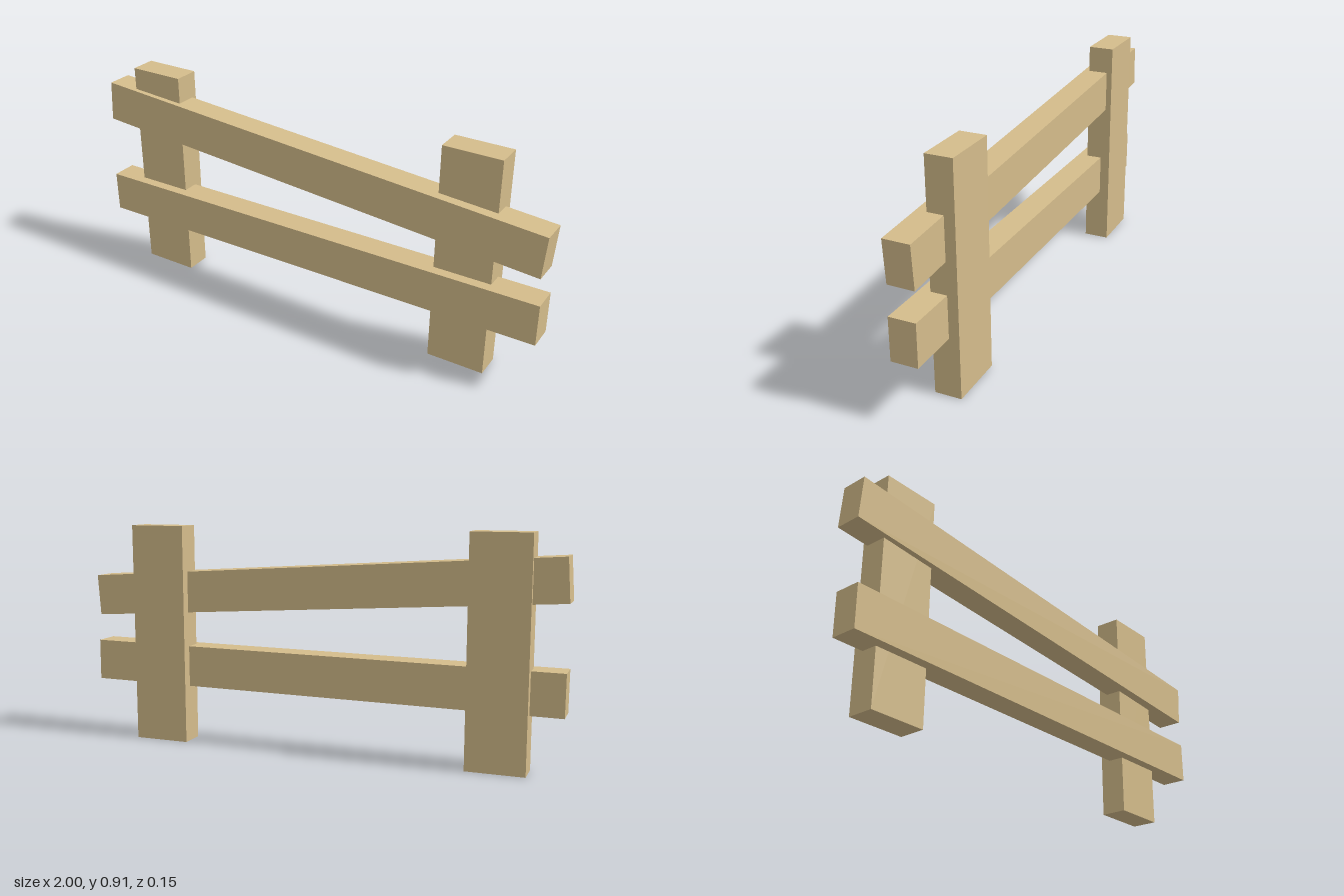
import * as THREE from 'three';

export function createModel() {
  const group = new THREE.Group();
  const wood = new THREE.MeshStandardMaterial({ color: 0xd4bc8b, flatShading: true });

  function plank(name, size, position, yaw = 0, tilt = 0) {
    const mesh = new THREE.Mesh(new THREE.BoxGeometry(...size), wood);
    mesh.name = name;
    mesh.position.set(...position);
    mesh.rotation.set(0, yaw, tilt);
    group.add(mesh);
  }

  // Upright posts
  const postSize = [0.234, 0.91, 0.106];
  plank('rightPost', postSize, [-0.747, 0.455, -0.022]);
  plank('leftPost', postSize, [0.677, 0.455, -0.022]);

  // Rails set into the front of the posts; the upper one has slipped askew
  const railSize = [1.991, 0.17, 0.106];
  plank('upperRail', railSize, [0, 0.673, 0.0095], -0.0126, -0.0684);
  plank('lowerRail', railSize, [0.002, 0.317, 0.019], 0, 0.006);

  return group;
}
